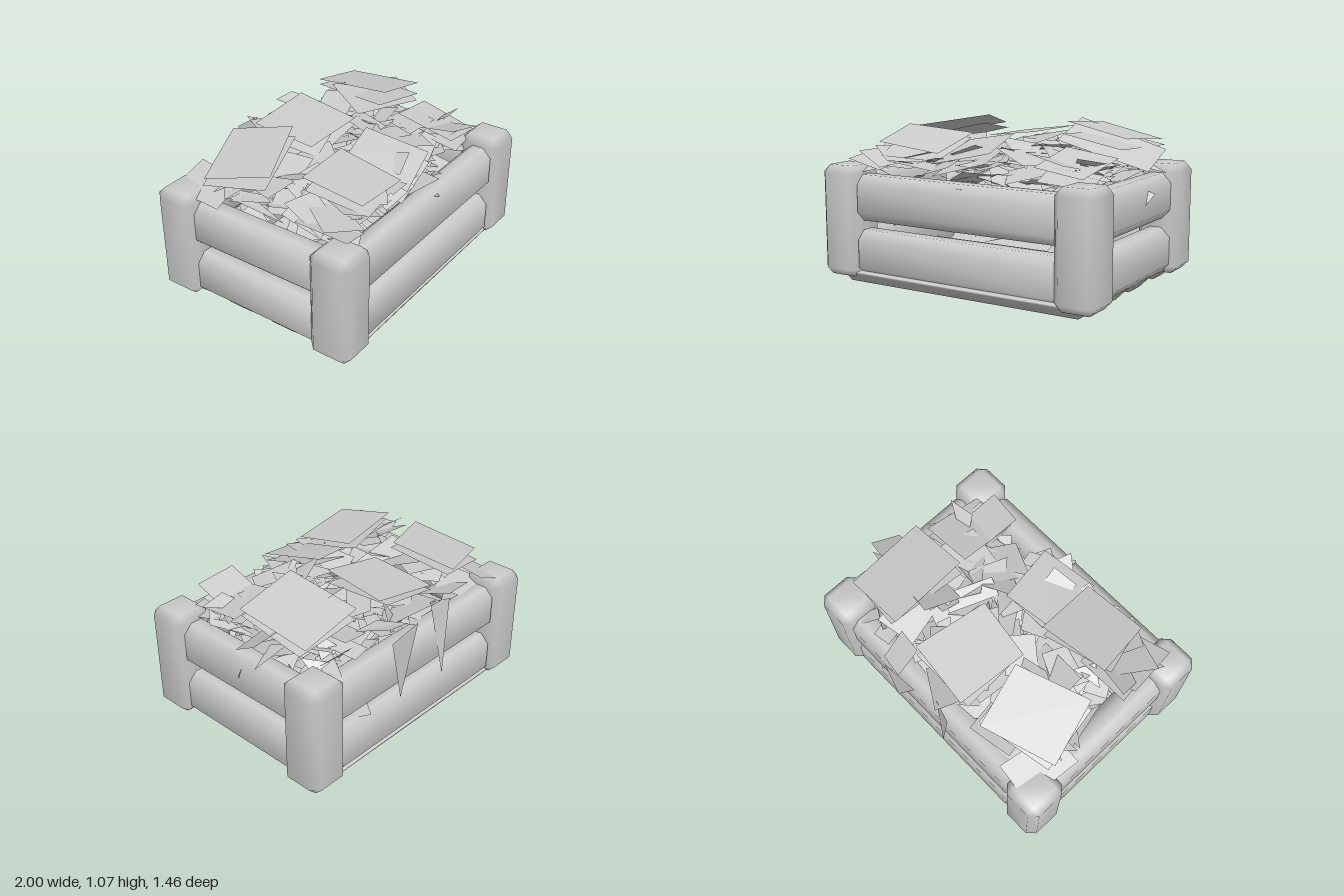
import * as THREE from 'three';
import { mergeVertices } from 'three/addons/utils/BufferGeometryUtils.js';
import { ConvexGeometry } from 'three/addons/geometries/ConvexGeometry.js';

const wood = new THREE.MeshStandardMaterial({ color: 0xcccccc });
const paper = new THREE.MeshStandardMaterial({ color: 0xcccccc, side: THREE.DoubleSide, flatShading: true });

// Box with bevelled edges and corners, shaded smoothly
function bevelBox(w, h, d, c) {
  const pts = [];
  for (const x of [-1, 1]) for (const y of [-1, 1]) for (const z of [-1, 1]) {
    const X = x * w / 2, Y = y * h / 2, Z = z * d / 2;
    pts.push(new THREE.Vector3(X, Y - y * c, Z - z * c),
      new THREE.Vector3(X - x * c, Y, Z - z * c),
      new THREE.Vector3(X - x * c, Y - y * c, Z));
  }
  const g = new ConvexGeometry(pts);
  g.deleteAttribute('normal');
  const m = mergeVertices(g, 1e-4);
  m.computeVertexNormals();
  return m;
}

// Flat card from three or four corners
function cardGeometry(corners) {
  const g = new THREE.BufferGeometry();
  g.setAttribute('position', new THREE.Float32BufferAttribute(corners.flat(), 3));
  g.setIndex(corners.length === 4 ? [0, 2, 1, 0, 3, 2] : [0, 2, 1]);
  g.computeVertexNormals();
  return g;
}

export function createModel() {
  const model = new THREE.Group();
  const crate = new THREE.Group();
  crate.name = 'crate';
  const heap = new THREE.Group();
  heap.name = 'cardHeap';
  model.add(crate, heap);
  const add = (parent, name, geometry, material, x = 0, y = 0, z = 0) => {
    const mesh = new THREE.Mesh(geometry, material);
    mesh.name = name;
    mesh.position.set(x, y, z);
    parent.add(mesh);
    return mesh;
  };

  // Corner posts
  const post = bevelBox(0.28, 0.725, 0.285, 0.05);
  for (const x of [-1, 1]) for (const z of [-1, 1])
    add(crate, 'cornerPost', post, wood, x * 0.855, 0.4125, z * 0.5825);

  // Two rails on every side
  const longRail = bevelBox(1.54, 0.3, 0.2, 0.06);
  const shortRail = bevelBox(0.2, 0.3, 1.0, 0.06);
  for (const y of [0.21, 0.57]) for (const s of [-1, 1]) {
    add(crate, s > 0 ? 'frontRail' : 'backRail', longRail, wood, 0, y, s * 0.59);
    add(crate, 'sideRail', shortRail, wood, s * 0.85, y, 0);
  }

  // Floor slats
  const slat = bevelBox(1.82, 0.15, 0.3, 0.07);
  for (const z of [0.53, 0.19, -0.15, -0.53]) add(crate, 'floorSlat', slat, wood, 0, 0.078, z);

  // Large sheets on top, each with a slightly turned sheet underneath
  const sheets = [
    [[-0.39, 0.97, -0.59], [-0.28, 1.06, -0.19], [-0.74, 0.98, 0], [-0.86, 0.88, -0.42]],
    [[-0.2, 0.93, -0.57], [0.24, 0.99, -0.53], [0.16, 0.98, -0.03], [-0.24, 0.93, -0.08]],
    [[0.43, 1.02, -0.52], [0.85, 0.93, -0.52], [0.85, 0.98, 0.02], [0.43, 1.07, 0.02]],
    [[-0.67, 1.01, 0.18], [-0.2, 0.97, 0.12], [-0.18, 0.88, 0.55], [-0.62, 0.93, 0.57]],
    [[-0.2, 0.93, 0.16], [0.1, 0.98, 0.1], [0.18, 0.9, 0.52], [-0.19, 0.82, 0.6]],
    [[0.48, 0.92, 0.1], [0.83, 0.87, 0.09], [0.8, 0.79, 0.5], [0.48, 0.84, 0.51]],
  ];
  sheets.forEach((corners, i) => {
    add(heap, 'topSheet', cardGeometry(corners), paper);
    const mid = [0, 1, 2].map(k => corners.reduce((sum, p) => sum + p[k], 0) / 4);
    const under = cardGeometry(corners.map(p => p.map((v, k) => v - mid[k])));
    const mesh = add(heap, 'underSheet', under, paper, mid[0], mid[1] - 0.06, mid[2]);
    mesh.rotation.set(0.06, (i % 2 ? 0.14 : -0.1), 0.05);
  });

  // Jumbled cards filling the crate, mostly lying flat, some on edge
  let seed = 7;
  const rnd = (a, b) => {
    seed = (seed * 16807) % 2147483647;
    return a + (b - a) * seed / 2147483647;
  };
  for (let i = 0; i < 210; i++) {
    const x = rnd(-0.78, 0.78), z = rnd(-0.52, 0.52);
    const top = 0.92 - 0.1 * Math.max((x / 0.78) ** 2, (z / 0.52) ** 2);
    const y = i < 130 ? rnd(0.72, top) : rnd(0.3, 0.72);
    const w = rnd(0.06, 0.19), d = rnd(0.05, 0.15), skew = rnd(-0.05, 0.05);
    const corners = [[-w, 0, -d], [w, 0, -d + skew], [w + skew, 0, d], [-w, 0, d]];
    if (i % 3 === 0) corners.pop();
    const mesh = add(heap, 'looseCard', cardGeometry(corners), paper, x, y, z);
    const tilt = i % 9 === 0 ? 1.1 : 0.4;
    mesh.rotation.set(rnd(-tilt, tilt), rnd(0, Math.PI * 2), rnd(-tilt, tilt) * 0.7, 'YXZ');
  }

  // Cards poking out over the rails
  const spill = [
    [[-0.22, 0.88, -0.7], [-0.08, 0.9, -0.66], [-0.16, 0.36, -0.72]],
    [[0.08, 0.84, -0.7], [0.34, 0.82, -0.72], [0.26, 0.4, -0.73]],
    [[0.2, 0.9, -0.72], [0.35, 0.91, -0.7], [0.42, 0.85, -0.5], [0.25, 0.86, -0.52]],
    [[0.8, 0.72, -0.02], [0.99, 0.64, -0.1], [0.95, 0.57, -0.05]],
    [[0.78, 0.84, -0.3], [1, 0.75, -0.25], [0.8, 0.8, -0.18]],
    [[0.35, 1.06, -0.35], [0.99, 0.9, -0.25], [0.96, 0.78, -0.05], [0.3, 0.93, -0.1]],
    [[-0.84, 0.92, 0.18], [-0.6, 0.9, 0.22], [-0.65, 0.74, 0.45], [-0.82, 0.76, 0.42]],
  ];
  for (const corners of spill) add(heap, 'spillingCard', cardGeometry(corners), paper);

  return model;
}
